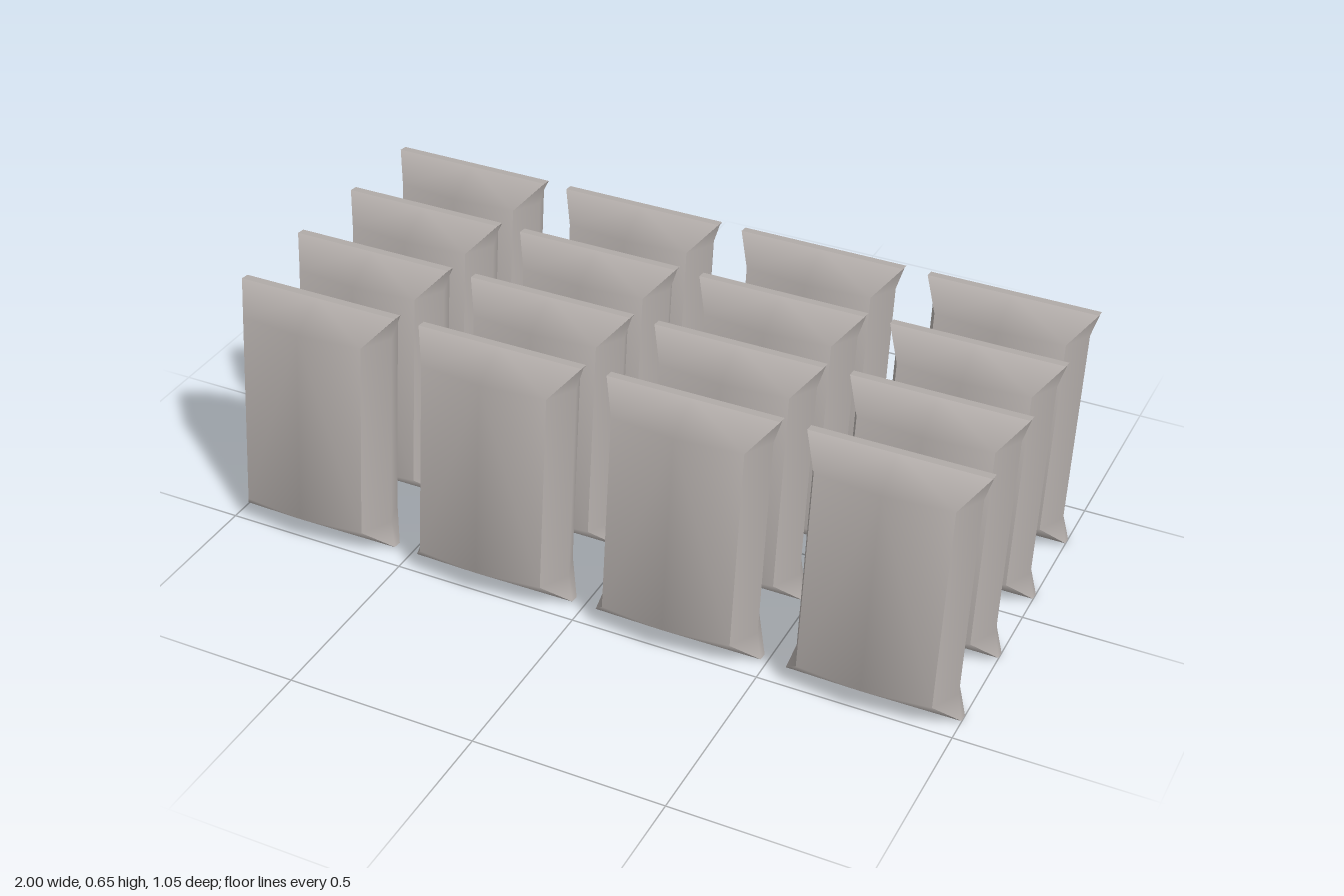
import * as THREE from 'three';

// Half sizes of one slab before it leans
const RIDGE_Y = 0.326, SHOULDER_Y = 0.262;
const RIDGE_X = 0.225, SIDE_X = 0.207, CORNER_X = 0.172;
const RIDGE_Z = 0.0125, FACE_Z = 0.108, CORNER_Z = 0.088;

// Smooth surface through rows of points: rows run downwards, columns left to right
function patch(rows) {
  const n = rows[0].length, index = [];
  for (let r = 0; r < rows.length - 1; r++) {
    for (let c = 0; c < n - 1; c++) {
      const a = r * n + c, b = a + n, d = a + 1, e = b + 1;
      // alternate the diagonal so both halves mirror each other
      if (c % 2) index.push(a, b, e, a, e, d);
      else index.push(a, b, d, b, e, d);
    }
  }
  const g = new THREE.BufferGeometry();
  g.setAttribute('position', new THREE.Float32BufferAttribute(rows.flat(2), 3));
  g.setIndex(index);
  g.computeVertexNormals();
  return g;
}

export function createModel() {
  const model = new THREE.Group();
  model.name = 'slabArray';
  const stone = new THREE.MeshStandardMaterial({ color: 0xb3adaa });
  stone.name = 'warmGrey';

  // Bowed broad face with its sloping top and bottom
  const levels = [RIDGE_Y, SHOULDER_Y, -SHOULDER_Y, -RIDGE_Y];
  const broad = patch(levels.map((y) => Math.abs(y) === RIDGE_Y
    ? [[-RIDGE_X, y, RIDGE_Z], [0, y, RIDGE_Z], [RIDGE_X, y, RIDGE_Z]]
    : [[-CORNER_X, y, CORNER_Z], [0, y, FACE_Z], [CORNER_X, y, CORNER_Z]]));

  // Convex narrow side, flaring out to the ridges
  const side = patch(levels.map((y) => Math.abs(y) === RIDGE_Y
    ? [[RIDGE_X, y, RIDGE_Z], [RIDGE_X, y, 0], [RIDGE_X, y, -RIDGE_Z]]
    : [[CORNER_X, y, CORNER_Z], [SIDE_X, y, 0], [CORNER_X, y, -CORNER_Z]]));

  // Thin flat strip along the ridge
  const ridge = patch([-RIDGE_Z, RIDGE_Z].map((z) =>
    [[-RIDGE_X, RIDGE_Y, z], [0, RIDGE_Y, z], [RIDGE_X, RIDGE_Y, z]]));

  const parts = [
    ['frontFace', broad, 0, 0], ['backFace', broad, 0, Math.PI],
    ['leftSide', side, 0, 0], ['rightSide', side, 0, Math.PI],
    ['topRidge', ridge, 0, 0], ['bottomRidge', ridge, Math.PI, 0],
  ];

  // Four by four leaning slabs
  for (let row = 0; row < 4; row++) {
    for (let col = 0; col < 4; col++) {
      const slab = new THREE.Group();
      slab.name = `slabRow${row + 1}Column${col + 1}`;
      for (const [name, geometry, rx, ry] of parts) {
        const mesh = new THREE.Mesh(geometry, stone);
        mesh.name = name;
        mesh.rotation.set(rx, ry, 0);
        slab.add(mesh);
      }
      slab.position.set((col - 1.5) * 0.5167, 0.325, (1.5 - row) * 0.258);
      slab.rotation.x = -0.118;
      model.add(slab);
    }
  }
  return model;
}
